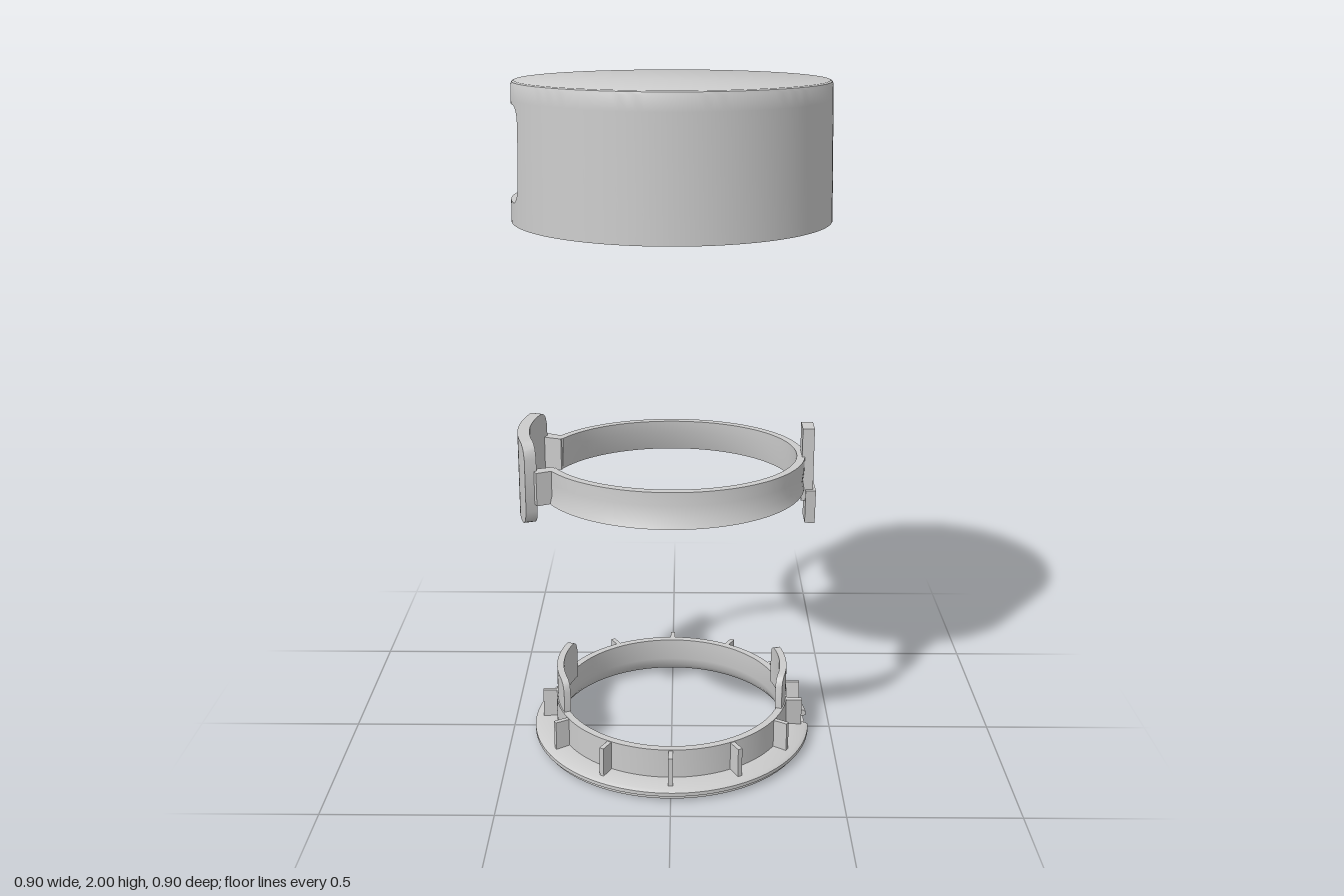
import * as THREE from 'three';
import { toCreasedNormals } from 'three/addons/utils/BufferGeometryUtils.js';

const TAU = Math.PI * 2;
const material = new THREE.MeshStandardMaterial({ color: 0xcccccc, side: THREE.DoubleSide });

// Sweep a closed [radius, height] profile about the y axis; angle 0 is +x, PI/2 is +z.
function sweep(a0, a1, steps, profileAt) {
  const full = a1 - a0 > TAU - 1e-6;
  const sections = [], profiles = [], pos = [];
  for (let k = 0; k <= steps; k++) {
    const a = a0 + (a1 - a0) * k / steps;
    const p = profileAt(a).map(([r, y]) => new THREE.Vector2(r, y));
    if (THREE.ShapeUtils.isClockWise(p)) p.reverse();
    profiles.push(p);
    sections.push(p.map(v => [v.x * Math.cos(a), v.y, v.x * Math.sin(a)]));
  }
  const tri = (a, b, c) => pos.push(...a, ...b, ...c);
  for (let k = 0; k < steps; k++) {
    const A = sections[k], B = sections[k + 1];
    for (let i = 0; i < A.length; i++) {
      const j = (i + 1) % A.length;
      tri(A[i], A[j], B[j]);
      tri(A[i], B[j], B[i]);
    }
  }
  if (!full) {
    const S = sections[0], E = sections[steps];
    for (const [a, b, c] of THREE.ShapeUtils.triangulateShape(profiles[0], [])) tri(S[a], S[c], S[b]);
    for (const [a, b, c] of THREE.ShapeUtils.triangulateShape(profiles[steps], [])) tri(E[a], E[b], E[c]);
  }
  const g = new THREE.BufferGeometry();
  g.setAttribute('position', new THREE.Float32BufferAttribute(pos, 3));
  return toCreasedNormals(g, 0.6);
}

const rect = (r0, r1, y0, y1) => [[r0, y0], [r1, y0], [r1, y1], [r0, y1]];

function add(parent, name, geometry) {
  const mesh = new THREE.Mesh(geometry, material);
  mesh.name = name;
  parent.add(mesh);
  return mesh;
}

// How far a rounded corner eats into the height at angular offset t from the middle.
function cornerInset(t, half, corner, radius) {
  const d = Math.max(0, Math.abs(t) - (half - corner)) / corner;
  return radius * (1 - Math.sqrt(Math.max(0, 1 - d * d)));
}

// Curved plate with rounded corners (bottom corners optional).
function curvedPlate(mid, half, r0, r1, y0, y1, radius, roundBottom) {
  return sweep(mid - half, mid + half, 40, a => {
    const c = cornerInset(a - mid, half, radius / r1, radius);
    return rect(r0, r1, y0 + (roundBottom ? c : 0), y1 - c);
  });
}

// Small radial rib.
function addRib(parent, name, angle, r0, r1, y0, y1, width) {
  const rib = add(parent, name, new THREE.BoxGeometry(r1 - r0, y1 - y0, width));
  const r = (r0 + r1) / 2;
  rib.position.set(r * Math.cos(angle), (y0 + y1) / 2, r * Math.sin(angle));
  rib.rotation.y = -angle;
}

function createCap() {
  const cap = new THREE.Group();
  cap.name = 'cap';
  const half = 0.4, corner = 0.05;
  const outer = y => 0.45 - 0.009 * (y - 1.62) / 0.33;

  // roof with soft rim and inner step
  add(cap, 'capRoof', sweep(0, TAU, 128, () => [
    [0, 2], [0.431, 2], [0.437, 1.997], [0.44, 1.99], [outer(1.95), 1.95],
    [0.405, 1.95], [0.405, 1.89], [0.39, 1.89], [0.375, 1.965], [0, 1.965]]));

  // wall everywhere except the window
  add(cap, 'capWall', sweep(-Math.PI + half, Math.PI - half, 112, () => [
    [0.45, 1.62], [outer(1.95), 1.95], [0.405, 1.95], [0.405, 1.89],
    [0.42, 1.89], [0.42, 1.645], [0.435, 1.645], [0.435, 1.62]]));

  // strips under and over the window, with rounded window corners
  const inset = a => cornerInset(a - Math.PI, half, corner / 0.44, corner);
  add(cap, 'windowSill', sweep(Math.PI - half, Math.PI + half, 40, a => {
    const y = 1.68 + inset(a);
    return [[0.45, 1.62], [outer(y), y], [0.42, y], [0.42, 1.645], [0.435, 1.645], [0.435, 1.62]];
  }));
  add(cap, 'windowHeader', sweep(Math.PI - half, Math.PI + half, 40, a => {
    const y = 1.94 - inset(a);
    return [[outer(y), y], [outer(1.95), 1.95], [0.405, 1.95], [0.405, y]];
  }));

  // inner ribs
  for (let i = 0; i < 12; i++) {
    if (i !== 6) addRib(cap, 'capRib', i * TAU / 12, 0.405, 0.425, 1.77, 1.9, 0.012);
  }
  return cap;
}

// Tapered tongue lying in a plane of constant x.
function tongue(x0, x1, y0, y1, halfBottom, halfTop) {
  const s = new THREE.Shape([
    [-halfBottom, y0], [halfBottom, y0], [halfTop, y1], [-halfTop, y1]
  ].map(p => new THREE.Vector2(...p)));
  const g = new THREE.ExtrudeGeometry(s, { depth: x1 - x0, bevelEnabled: false });
  return g.rotateY(Math.PI / 2).translate(x0, 0, 0);
}

function createSpringRing() {
  const ring = new THREE.Group();
  ring.name = 'springRing';
  const oval = (a, rx, rz) => rx * rz / Math.hypot(rz * Math.cos(a), rx * Math.sin(a));

  // oval band, flared at the foot of the front and back
  const end = Math.PI - 0.38;
  add(ring, 'springBand', sweep(-end, end, 112, a => {
    const top = oval(a, 0.395, 0.335), mid = oval(a, 0.395, 0.338), foot = oval(a, 0.395, 0.36), t = 0.024;
    return [[foot, 0.818], [(foot + mid) / 2 - 0.004, 0.845], [mid, 0.88], [top, 0.918],
      [top - t, 0.918], [mid - t, 0.88], [foot - t, 0.818]];
  }));

  // push button and the blocks joining it to the band
  add(ring, 'button', curvedPlate(Math.PI, 0.4, 0.42, 0.455, 0.75, 0.998, 0.045, true));
  for (const s of [-1, 1]) {
    const a = Math.PI + s * 0.4;
    add(ring, 'buttonJoint', sweep(a - 0.045, a + 0.045, 4, () => rect(0.365, 0.428, 0.818, 0.918)));
  }

  // locating tab opposite the button
  add(ring, 'tabUpper', tongue(0.385, 0.42, 0.78, 1.005, 0.033, 0.033));
  add(ring, 'tabLower', tongue(0.398, 0.428, 0.71, 0.815, 0.035, 0.045));
  return ring;
}

function createBase() {
  const base = new THREE.Group();
  base.name = 'base';
  const notch = 0.09;
  const profile = [[0.385, 0.004], [0.4, 0], [0.42, 0.006], [0.42, 0.016], [0.43, 0.019], [0.43, 0.03],
    [0.42, 0.037], [0.362, 0.04], [0.362, 0.13], [0.34, 0.13], [0.34, 0.06], [0.346, 0.035], [0.36, 0.016]];

  // flanged collar, notched at +x for the locating tab
  add(base, 'collar', sweep(notch, TAU - notch, 120, () => profile));
  add(base, 'collarNotch', sweep(-notch, notch, 6, () =>
    profile.map(([r, y]) => [y > 0.018 ? Math.min(r, 0.385) : r, y])));

  // raised stops
  add(base, 'wideStop', curvedPlate(Math.PI, 0.425, 0.337, 0.358, 0.1, 0.23, 0.035, false));
  add(base, 'narrowStop', curvedPlate(0, 0.34, 0.337, 0.358, 0.1, 0.23, 0.03, false));

  // outer ribs
  for (let i = 1; i < 12; i++) {
    addRib(base, 'collarRib', i * TAU / 12, 0.35, 0.405, 0.03, 0.128, 0.014);
  }
  // slanted guides beside the notch
  for (const s of [-1, 1]) {
    const guide = add(base, 'tabGuide', new THREE.BoxGeometry(0.05, 0.1, 0.014));
    guide.position.set(0.38, 0.08, s * 0.05);
    guide.rotation.x = s * 0.13;
  }
  return base;
}

export function createModel() {
  const model = new THREE.Group();
  model.name = 'pushButtonCapAssembly';
  model.add(createCap(), createSpringRing(), createBase());
  return model;
}
